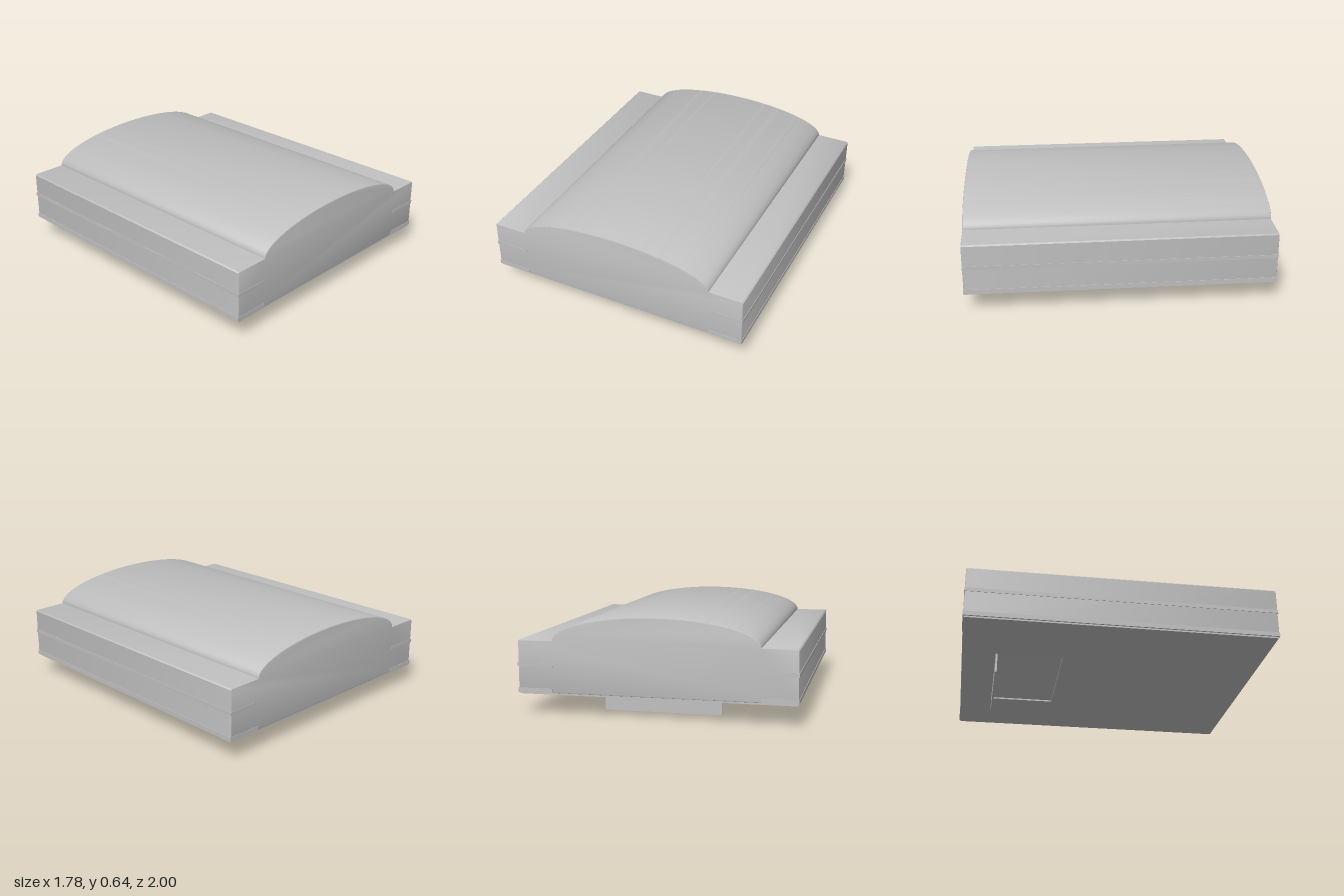
import * as THREE from 'three';
import { toCreasedNormals } from 'three/addons/utils/BufferGeometryUtils.js';

const shellGrey = new THREE.MeshStandardMaterial({ color: 0xc0c0c0 });
shellGrey.name = 'shell grey';

export function createModel() {
  const model = new THREE.Group();
  model.name = 'domedCase';

  const add = (name, geometry, x = 0, y = 0, z = 0) => {
    const mesh = new THREE.Mesh(geometry, shellGrey);
    mesh.name = name;
    mesh.position.set(x, y, z);
    model.add(mesh);
    return mesh;
  };

  // Body: flat shoulders with an elliptical dome, run from front to back
  const W = 0.887, BOTTOM = 0.14, SHOULDER = 0.475, DOME = 0.66, RISE = 0.165, C = 0.008;
  const profile = new THREE.Shape();
  profile.moveTo(-W, BOTTOM);
  profile.lineTo(W, BOTTOM);
  profile.lineTo(W, SHOULDER - C);
  profile.lineTo(W - C, SHOULDER);
  profile.lineTo(DOME, SHOULDER);
  profile.absellipse(0, SHOULDER, DOME, RISE, 0, Math.PI, false);
  profile.lineTo(-W + C, SHOULDER);
  profile.lineTo(-W, SHOULDER - C);
  profile.closePath();
  const bevel = 0.007, halfDepth = 0.998;
  const body = new THREE.ExtrudeGeometry(profile, {
    depth: 2 * (halfDepth - bevel), curveSegments: 48,
    bevelEnabled: true, bevelSize: bevel, bevelThickness: bevel, bevelOffset: -bevel, bevelSegments: 2,
  });
  body.translate(0, 0, -(halfDepth - bevel));
  add('body', toCreasedNormals(body, 0.5));

  // Base plate with a shallow pocket for the folding stand
  const plate = new THREE.Shape();
  plate.moveTo(-0.88, -0.993);
  plate.lineTo(0.88, -0.993);
  plate.lineTo(0.88, 0.993);
  plate.lineTo(-0.88, 0.993);
  plate.closePath();
  const pocket = new THREE.Path();
  pocket.moveTo(-0.385, -0.775);
  pocket.lineTo(-0.385, -0.335);
  pocket.lineTo(0.385, -0.335);
  pocket.lineTo(0.385, -0.775);
  pocket.closePath();
  plate.holes.push(pocket);
  const base = new THREE.ExtrudeGeometry(plate, { depth: 0.022, bevelEnabled: false });
  base.rotateX(Math.PI / 2); // shape y becomes z, thickness hangs downwards
  add('basePlate', base, 0, 0.152, 0);

  // Folding stand
  add('stand', new THREE.BoxGeometry(0.77, 0.147, 0.012), 0, 0.0735, -0.77);

  // Thin seam trims that wrap round the sides onto both ends
  for (const side of [-1, 1]) {
    for (const [y, height] of [[0.318, 0.024], [0.154, 0.028]]) {
      add('sideTrim', new THREE.BoxGeometry(0.23, height, 2), side * 0.775, y, 0);
    }
  }
  return model;
}
